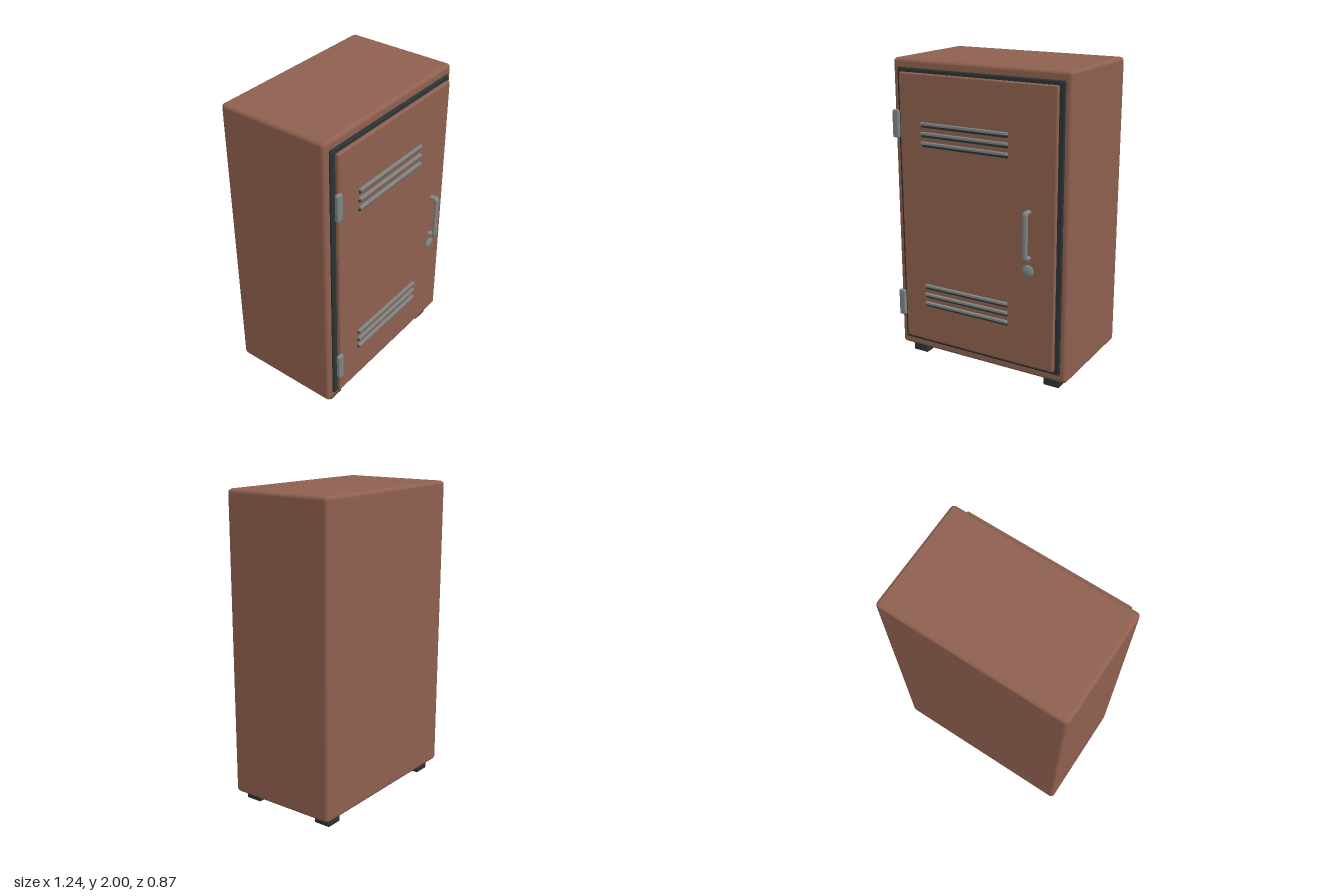
import * as THREE from 'three';
import { RoundedBoxGeometry } from 'three/addons/geometries/RoundedBoxGeometry.js';

export function createModel() {
  const group = new THREE.Group();
  const paint = new THREE.MeshStandardMaterial({ color: 0x8f604f });
  const rubber = new THREE.MeshStandardMaterial({ color: 0x2b3333 });
  const metal = new THREE.MeshStandardMaterial({ color: 0x7d8584, side: THREE.DoubleSide });
  paint.name = 'brownPaint';
  rubber.name = 'darkRubber';
  metal.name = 'greyMetal';

  const add = (name, geometry, material) => {
    const mesh = new THREE.Mesh(geometry, material);
    mesh.name = name;
    group.add(mesh);
    return mesh;
  };
  // Softened box given by its minimum and maximum on each axis
  const box = (name, material, [x0, x1], [y0, y1], [z0, z1], radius) => {
    const size = [x1 - x0, y1 - y0, z1 - z0];
    const geometry = radius
      ? new RoundedBoxGeometry(...size, 2, radius)
      : new THREE.BoxGeometry(...size);
    geometry.translate((x0 + x1) / 2, (y0 + y1) / 2, (z0 + z1) / 2);
    return add(name, geometry, material);
  };

  // Cabinet, door seal and door
  box('cabinet', paint, [-0.62, 0.62], [0.06, 2], [-0.435, 0.315], 0.025);
  box('doorSeal', rubber, [-0.58, 0.58], [0.115, 1.945], [0.305, 0.33], 0.01);
  box('door', paint, [-0.55, 0.55], [0.143, 1.92], [0.328, 0.357], 0.01);

  // Feet
  for (const x of [-0.5, 0.5]) {
    for (const z of [-0.338, 0.224]) {
      box('foot', rubber, [x - 0.056, x + 0.056], [0, 0.075], [z - 0.057, z + 0.057], 0.008);
    }
  }

  // Hinges on the right edge of the door
  for (const y of [0.387, 1.597]) {
    box('hinge', metal, [-0.59, -0.545], [y - 0.088, y + 0.088], [0.356, 0.384], 0.008);
  }

  // Vent slats, each above a dark slot
  for (const base of [0.413, 1.486]) {
    for (let i = 0; i < 3; i++) {
      const y = base + i * 0.061;
      box('ventSlat', metal, [-0.38, 0.235], [y - 0.001, y + 0.017], [0.364, 0.385], 0.004);
      box('ventSlot', rubber, [-0.378, 0.233], [y - 0.017, y - 0.001], [0.363, 0.371]);
    }
  }

  // Handle: a flattened tube bent into a bracket
  const path = new THREE.CurvePath();
  const v = (y, z) => new THREE.Vector3(0, y, z);
  const [low, high, back, front, bend] = [0.879, 1.166, 0.378, 0.424, 0.016];
  path.add(new THREE.LineCurve3(v(low, back), v(low, front - bend)));
  path.add(new THREE.QuadraticBezierCurve3(v(low, front - bend), v(low, front), v(low + bend, front)));
  path.add(new THREE.LineCurve3(v(low + bend, front), v(high - bend, front)));
  path.add(new THREE.QuadraticBezierCurve3(v(high - bend, front), v(high, front), v(high, front - bend)));
  path.add(new THREE.LineCurve3(v(high, front - bend), v(high, back)));
  const handle = add('handle', new THREE.TubeGeometry(path, 96, 0.0125, 14), metal);
  handle.scale.x = 1.55;
  handle.position.x = 0.383;

  // Round lock below the handle
  const profile = [[0, 0], [0.039, 0], [0.039, 0.008], [0.034, 0.014], [0.018, 0.018], [0, 0.019]];
  const lockShape = new THREE.LatheGeometry(profile.map(([r, h]) => new THREE.Vector2(r, h)), 24);
  const lock = add('lock', lockShape, metal);
  lock.rotation.x = Math.PI / 2;
  lock.position.set(0.383, 0.794, 0.377);

  return group;
}
